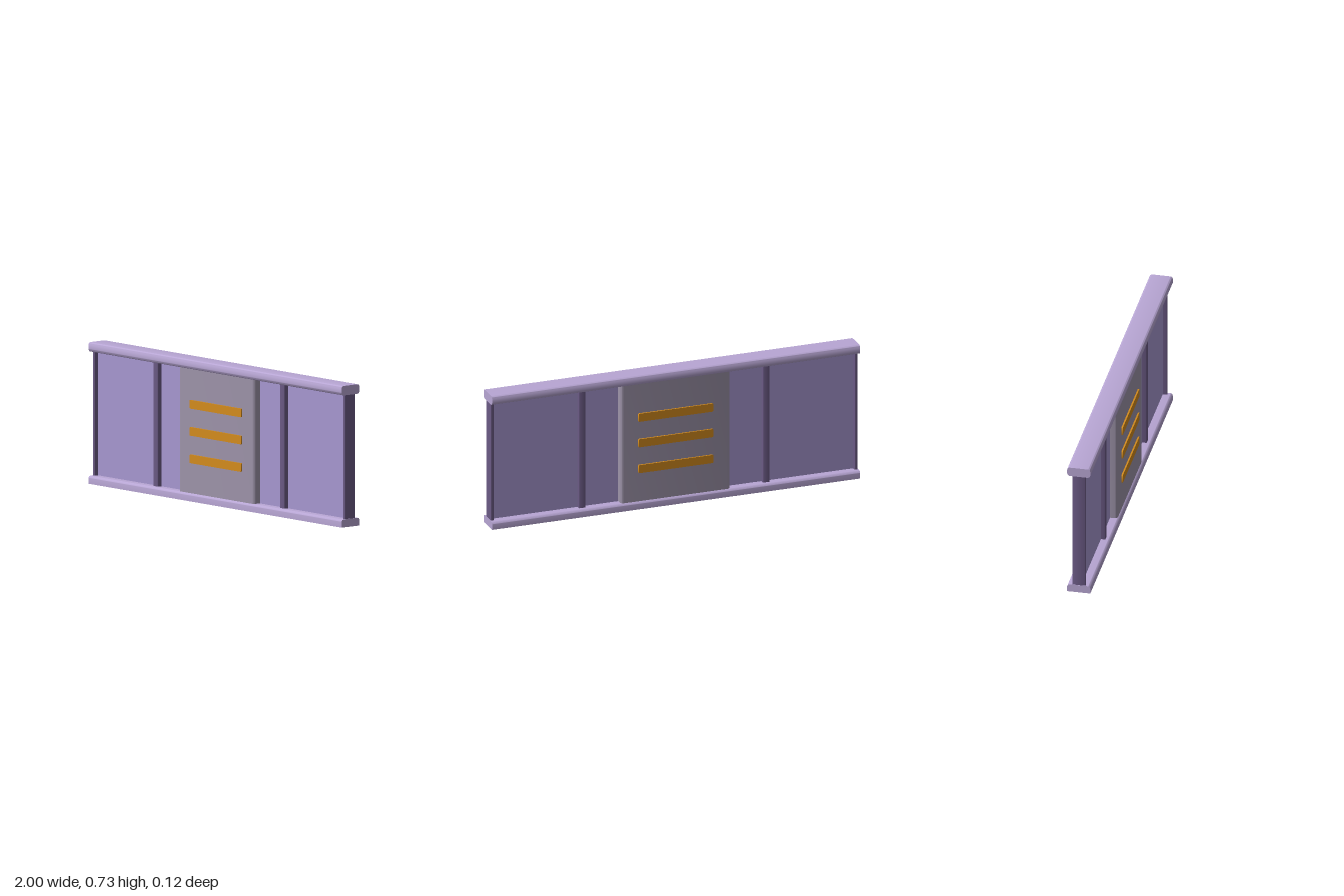
import * as THREE from 'three';
import { toCreasedNormals } from 'three/addons/utils/BufferGeometryUtils.js';

const mat = (name, color) => {
  const m = new THREE.MeshStandardMaterial({ color });
  m.name = name;
  return m;
};

// Rectangle with separate corner radii for its lower and upper corners
function roundedRect(w, h, rLow, rHigh) {
  const s = new THREE.Shape();
  const x = w / 2, y = h / 2, q = Math.PI / 2;
  const corner = (cx, cy, r, a) => {
    if (r > 0) s.absarc(cx, cy, r, a, a + q, false);
    else s.lineTo(cx, cy);
  };
  s.moveTo(-x + rLow, -y);
  corner(x - rLow, -y + rLow, rLow, -q);
  corner(x - rHigh, y - rHigh, rHigh, 0);
  corner(-x + rHigh, y - rHigh, rHigh, q);
  corner(-x + rLow, -y + rLow, rLow, 2 * q);
  s.closePath();
  return s;
}

// Straight bar with that cross-section, centred along z
function prism(w, h, length, rLow, rHigh) {
  const g = new THREE.ExtrudeGeometry(roundedRect(w, h, rLow, rHigh), {
    depth: length, bevelEnabled: false, curveSegments: 5,
  });
  g.translate(0, 0, -length / 2);
  return toCreasedNormals(g, 0.6);
}

export function createModel() {
  const model = new THREE.Group();
  model.name = 'wallSection';
  const lilac = mat('pale lilac', 0xb8a6d4);
  const lavender = mat('lavender', 0xa898d2);
  const plum = mat('dark plum', 0x6c5b86);
  const grey = mat('mauve grey', 0x9e94aa);
  const amber = mat('amber', 0xd48c1e);

  const add = (name, geometry, material, x, y, z) => {
    const m = new THREE.Mesh(geometry, material);
    m.name = name;
    m.position.set(x, y, z);
    model.add(m);
  };

  // Rails along the full length
  add('bottomRail', prism(0.12, 0.041, 2, 0, 0.014).rotateY(Math.PI / 2), lilac, 0, 0.0205, 0);
  add('topRail', prism(0.12, 0.049, 2, 0.016, 0.014).rotateY(Math.PI / 2), lilac, 0, 0.7015, 0);

  // Thin infill panel
  const low = 0.035, high = 0.685, midY = (low + high) / 2, tall = high - low;
  add('panel', new THREE.BoxGeometry(1.98, tall, 0.024), lavender, 0, midY, 0);

  // Upright posts, mirrored left and right
  for (const side of [-1, 1]) {
    add('middlePost', prism(0.037, 0.07, tall, 0.004, 0.004).rotateX(Math.PI / 2), plum, side * 0.5, midY, 0);
    add('endPost', prism(0.017, 0.07, tall, 0.004, 0.004).rotateX(Math.PI / 2), plum, side * 0.989, midY, 0);
  }

  // Thick centre block with rounded upright edges
  add('centreBlock', prism(0.594, 0.1, tall, 0.015, 0.015).rotateX(Math.PI / 2), grey, 0, midY, 0);

  // Three raised strips on each face
  for (const z of [-0.053, 0.053]) {
    for (const y of [0.218, 0.359, 0.498]) {
      add('strip', prism(0.406, 0.044, 0.01, 0.005, 0.005), amber, 0, y, z);
    }
  }
  return model;
}
